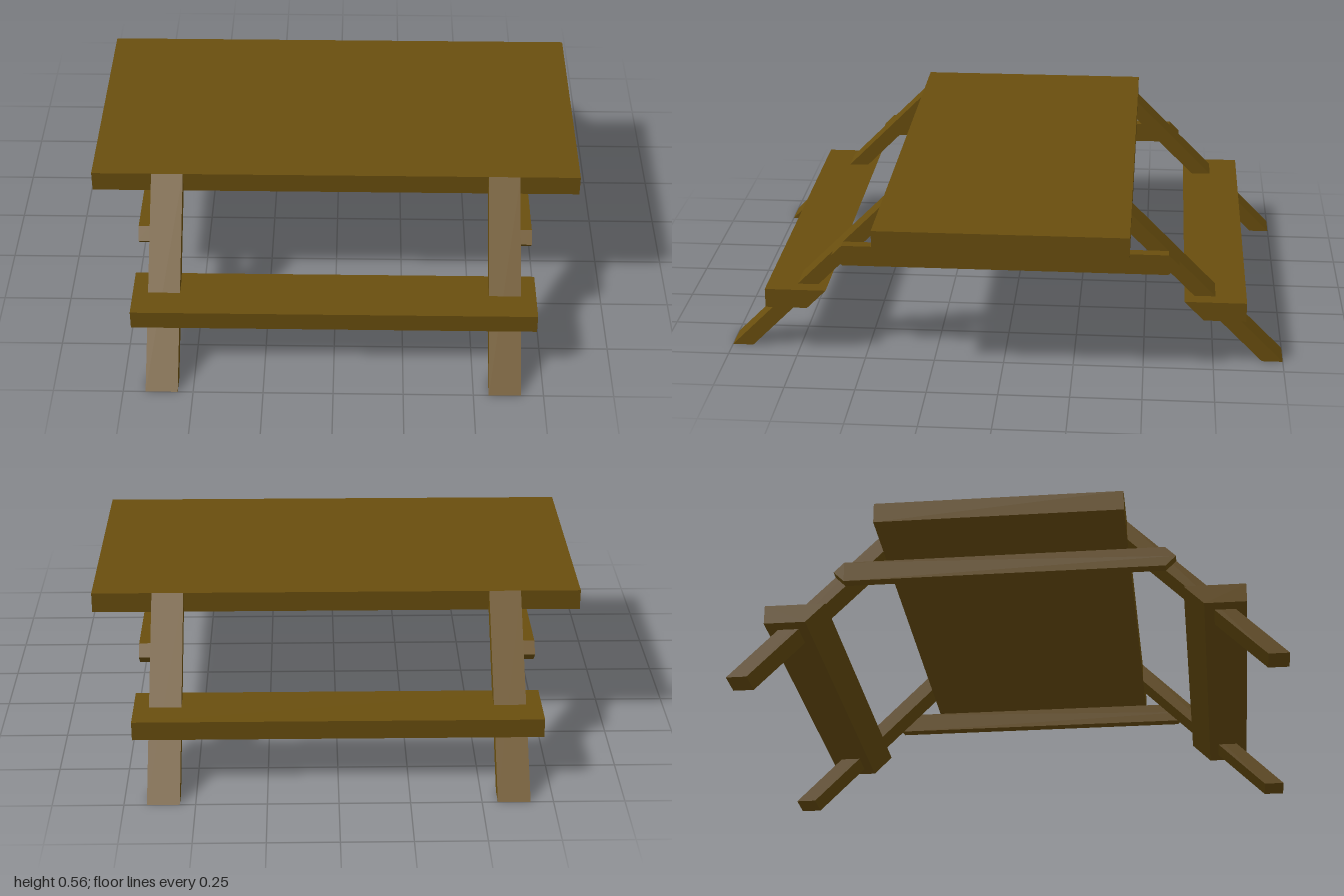
import * as THREE from 'three';

const wood = new THREE.MeshStandardMaterial({ color: 0x694e0e });
wood.name = 'brown wood';

// Extrude a [z, y] side profile across x, from x0 to x1
function plank(name, profile, x0, x1) {
  const shape = new THREE.Shape(profile.map(([z, y]) => new THREE.Vector2(-z, y)));
  const geometry = new THREE.ExtrudeGeometry(shape, { depth: x1 - x0, bevelEnabled: false });
  geometry.rotateY(Math.PI / 2).translate(x0, 0, 0);
  const mesh = new THREE.Mesh(geometry, wood);
  mesh.name = name;
  return mesh;
}

export function createModel() {
  const model = new THREE.Group();
  model.name = 'picnicTable';

  // Table top
  const top = new THREE.Mesh(new THREE.BoxGeometry(1.776, 0.075, 0.89), wood);
  top.name = 'tableTop';
  top.position.y = 0.5175;
  model.add(top);

  // Slanted legs cut flush with the floor and the table edge, and a bench on each long side
  const leg = [[1, 0], [0.445, 0.555], [0.445, 0.48], [0.925, 0]];
  const bench = [[0.86, 0.18], [0.86, 0.25], [0.64, 0.25], [0.71, 0.18]];
  for (const [side, angle] of [['front', 0], ['back', Math.PI]]) {
    const half = new THREE.Group();
    half.name = side + 'Side';
    half.add(
      plank('leg', leg, 0.555, 0.67),
      plank('leg', leg, -0.67, -0.555),
      plank('bench', bench, -0.725, 0.725)
    );
    half.rotation.y = angle;
    model.add(half);
  }

  // Cross braces with pointed ends, on the outer faces of the legs
  const brace = [
    [0.58, 0.345], [0.618, 0.382], [0.58, 0.42],
    [-0.58, 0.42], [-0.618, 0.382], [-0.58, 0.345]
  ];
  model.add(plank('leftBrace', brace, 0.67, 0.71), plank('rightBrace', brace, -0.71, -0.67));

  return model;
}
